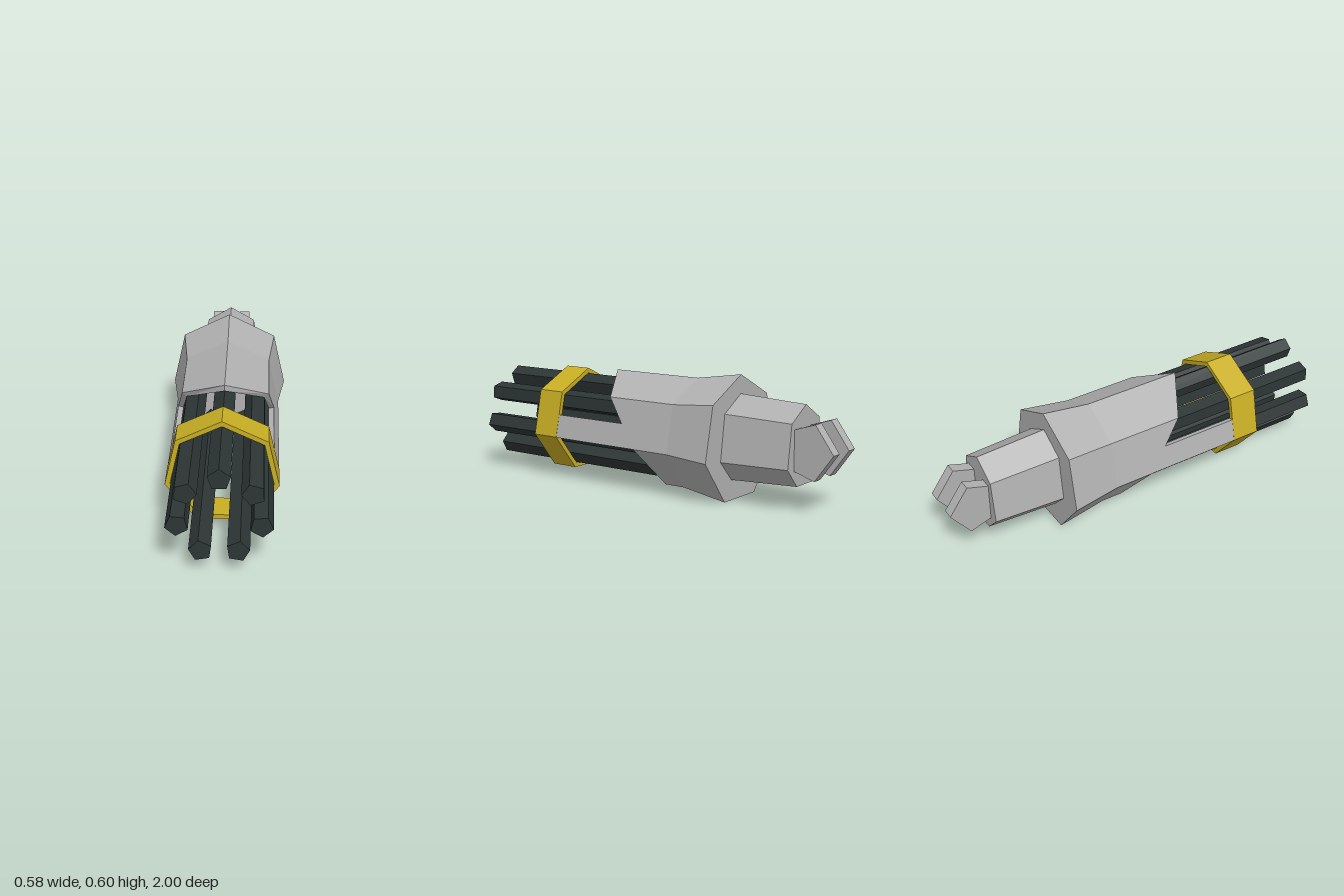
import * as THREE from 'three';

const CY = 0.283; // height of the long axis
const grey = new THREE.MeshStandardMaterial({ color: 0xb2b2b2, name: 'light grey' });
const yellow = new THREE.MeshStandardMaterial({ color: 0xc8ae24, name: 'yellow' });
const dark = new THREE.MeshStandardMaterial({ color: 0x2d3635, name: 'dark green grey' });

// Point k of a heptagon with one corner up, counted towards +x
function corner(k, rx, ry = rx) {
  const a = (k * 2 * Math.PI) / 7;
  return [Math.sin(a) * rx, CY + Math.cos(a) * ry];
}

// Corners counter-clockwise as seen from the front
function heptagon(rx, ry, z) {
  return [0, 1, 2, 3, 4, 5, 6].map((k) => [...corner(-k, rx, ry), z]);
}

// Closed flat-faced solid between a front and a back ring
function loft(front, back) {
  const pos = [];
  const tri = (a, b, c) => pos.push(...a, ...b, ...c);
  const n = front.length;
  for (let i = 0; i < n; i++) {
    const j = (i + 1) % n;
    tri(front[i], back[i], back[j]);
    tri(front[i], back[j], front[j]);
    if (i > 0 && i < n - 1) {
      tri(front[0], front[i], front[j]);
      tri(back[0], back[j], back[i]);
    }
  }
  const g = new THREE.BufferGeometry();
  g.setAttribute('position', new THREE.Float32BufferAttribute(pos, 3));
  g.computeVertexNormals();
  return g;
}

export function createModel() {
  const model = new THREE.Group();
  const add = (name, geometry, material, parent = model) => {
    const m = new THREE.Mesh(geometry, material);
    m.name = name;
    parent.add(m);
    return m;
  };

  // Flared rear of the housing, its front cap closes the barrel chamber
  add('flaredHousing', loft(heptagon(0.266, 0.275, -0.2), heptagon(0.3, 0.313, -0.447)), grey);

  // Hollow front shell: wall pieces with their own front edges, mirrored
  const shell = new THREE.Group();
  shell.name = 'frontShell';
  model.add(shell);
  const [v0, v1, v2, v3] = [0, 1, 2, 3].map((k) => corner(k, 0.266, 0.275));
  const mid = [v1[0] + (v2[0] - v1[0]) * 0.51, v1[1] + (v2[1] - v1[1]) * 0.51];
  const inner = ([x, y]) => [x * 0.89, CY + (y - CY) * 0.89];
  const walls = [
    ['topWall', v0, v1, 0.3, 0.18],
    ['upperSideWall', v1, mid, 0.18, 0.09],
    ['sideArm', mid, v2, 0.5, 0.5],
    ['lowerSideWall', v2, v3, 0, -0.09],
    ['bottomWall', v3, [0, v3[1]], -0.09, -0.09],
  ];
  for (const [name, s, e, zs, ze] of walls) {
    for (const side of [1, -1]) {
      const pts = [[inner(s), zs], [inner(e), ze], [e, ze], [s, zs]];
      if (side < 0) pts.reverse();
      const ring = (z) => pts.map(([p, zf]) => [p[0] * side, p[1], z ?? zf]);
      add(name, loft(ring(), ring(-0.2)), grey, shell);
    }
  }

  // Tapered rear block
  const half = [[0, 0.505], [0.136, 0.425], [0.168, 0.2], [0.075, 0.1]];
  const outline = [
    ...half.map(([x, y]) => [-x, y]),
    ...half.slice(1).reverse(),
  ];
  const block = (k, z) => outline.map(([x, y]) => [x * k, 0.302 + (y - 0.302) * k, z]);
  add('rearBlock', loft(block(1, -0.44), block(0.92, -0.8)), grey);

  // Two five-sided prongs at the back
  for (const side of [1, -1]) {
    const g = new THREE.CylinderGeometry(0.137, 0.137, 0.055, 5).toNonIndexed();
    g.rotateY(Math.PI); // point backwards
    g.rotateZ(Math.PI / 2);
    g.computeVertexNormals();
    add('prong', g, grey).position.set(side * 0.0725, 0.29, -0.863);
  }

  // Small dark plate between the prongs
  const plate = new THREE.CylinderGeometry(0.04, 0.04, 0.006, 5);
  plate.rotateX(Math.PI / 2);
  add('rearPlate', plate, dark).position.set(0, 0.29, -0.801);

  // Ring holding the barrels
  const shape = new THREE.Shape(heptagon(0.267, 0.267, 0).map((p) => new THREE.Vector2(p[0], p[1])));
  shape.holes.push(new THREE.Path(heptagon(0.242, 0.242, 0).map((p) => new THREE.Vector2(p[0], p[1])).reverse()));
  const band = new THREE.ExtrudeGeometry(shape, { depth: 0.145, bevelEnabled: false });
  add('barrelRing', band, yellow).position.z = 0.495;

  // Seven five-sided barrels, each with a corner facing outwards
  for (let k = 0; k < 7; k++) {
    const [cx, cy] = corner(k, 0.1865);
    const ring = (z) => [0, 1, 2, 3, 4].map((i) => {
      const a = (k * 2 * Math.PI) / 7 - (i * 2 * Math.PI) / 5;
      return [cx + Math.sin(a) * 0.0525, cy + Math.cos(a) * 0.0525, z];
    });
    add('barrel', loft(ring(1), ring(-0.21)), dark);
  }

  return model;
}
